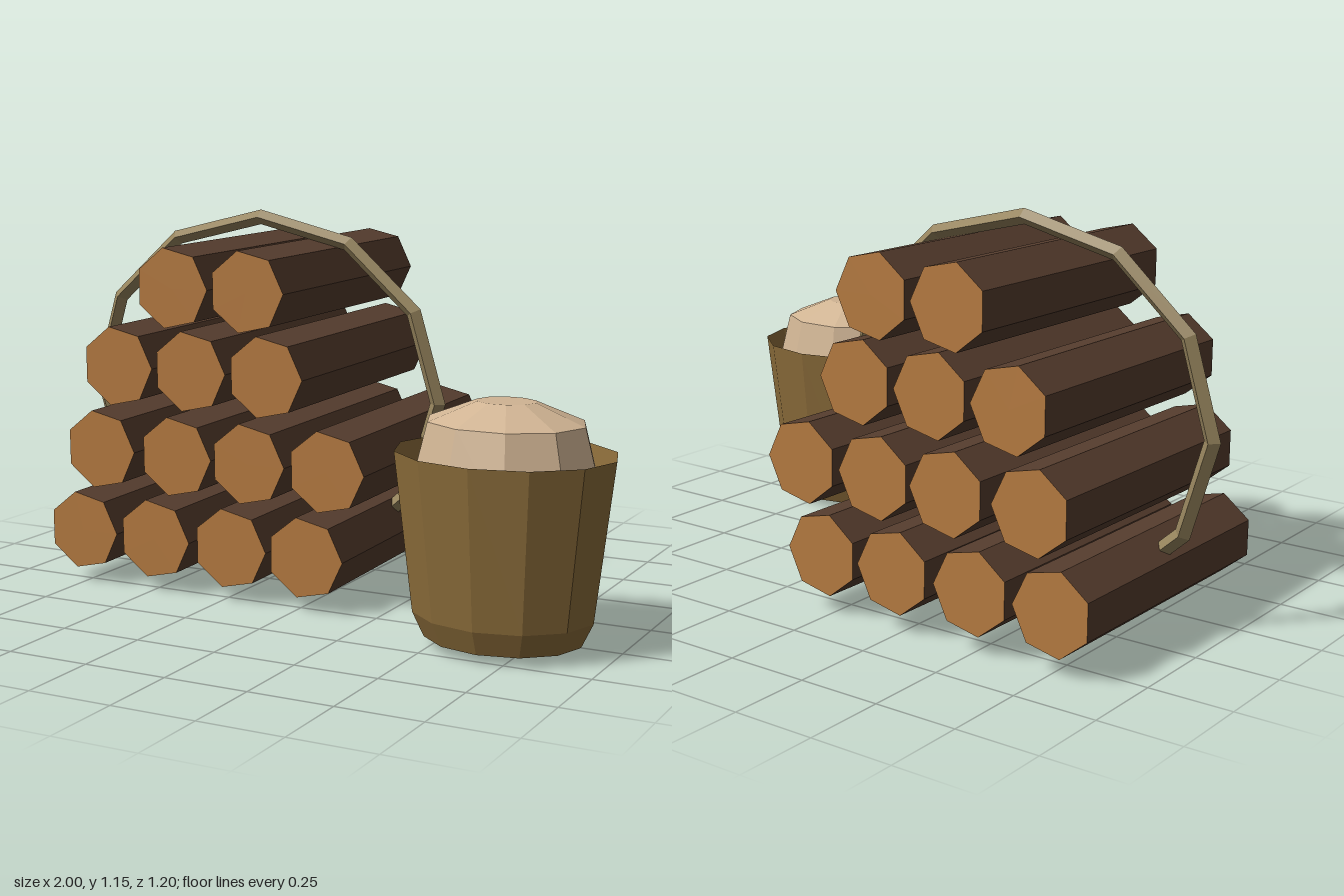
import * as THREE from 'three';

const flat = (name, color, side = THREE.FrontSide) => {
  const m = new THREE.MeshStandardMaterial({ color, flatShading: true, side });
  m.name = name;
  return m;
};

export function createModel() {
  const bark = flat('bark', 0x563d2e);
  const cutWood = flat('cutWood', 0xb57a40);
  const strap = flat('strap', 0x95835c);
  const wicker = flat('wicker', 0x8b6c3a, THREE.DoubleSide);
  const cloth = flat('cloth', 0xd0b493);

  const model = new THREE.Group();
  model.name = 'logPileAndBasket';
  const add = (parent, name, geometry, material) => {
    const mesh = new THREE.Mesh(geometry, material);
    mesh.name = name;
    parent.add(mesh);
    return mesh;
  };

  // Stacked seven-sided logs, each leaning very slightly up towards the back
  const logs = new THREE.Group();
  logs.name = 'logs';
  model.add(logs);
  const logGeometry = new THREE.CylinderGeometry(0.124, 0.124, 0.89, 7, 1, false, Math.PI / 2);
  logGeometry.rotateX(Math.PI / 2);
  const rows = [
    { y: 0.171, xs: [-0.755, -0.493, -0.225, 0.031] },
    { y: 0.434, xs: [-0.685, -0.412, -0.161, 0.101] },
    { y: 0.698, xs: [-0.616, -0.359, -0.1] },
    { y: 0.946, xs: [-0.418, -0.161] },
  ];
  for (const { y, xs } of rows) {
    for (const x of xs) {
      const log = add(logs, 'log', logGeometry, [bark, cutWood, cutWood]);
      log.position.set(x, y, -0.15);
      log.rotation.set(0.0135, 0.011, 0);
    }
  }

  // Square-section hoop around the pile
  const hoop = add(model, 'hoop', new THREE.TorusGeometry(0.6, 0.025, 4, 12), strap);
  hoop.scale.set(1.029, 0.922, 1);
  hoop.position.set(-0.357, 0.577, -0.15);

  // Oval basket with a cloth bundle swelling out of its open top
  const basket = new THREE.Group();
  basket.name = 'basket';
  basket.position.set(0.682, 0, 0.335);
  basket.scale.z = 0.835;
  model.add(basket);
  const profile = (pairs) => pairs.map(([r, y]) => new THREE.Vector2(r, y));
  add(basket, 'basketWall', new THREE.LatheGeometry(profile([
    [0, 0.028], [0.228, 0.028], [0.262, 0.098], [0.317, 0.55], [0.285, 0.41],
  ]), 12), wicker);
  add(basket, 'clothBundle', new THREE.LatheGeometry(profile([
    [0.287, 0.41], [0.228, 0.634], [0.085, 0.69], [0, 0.69],
  ]), 10, Math.PI / 2), cloth);

  return model;
}
